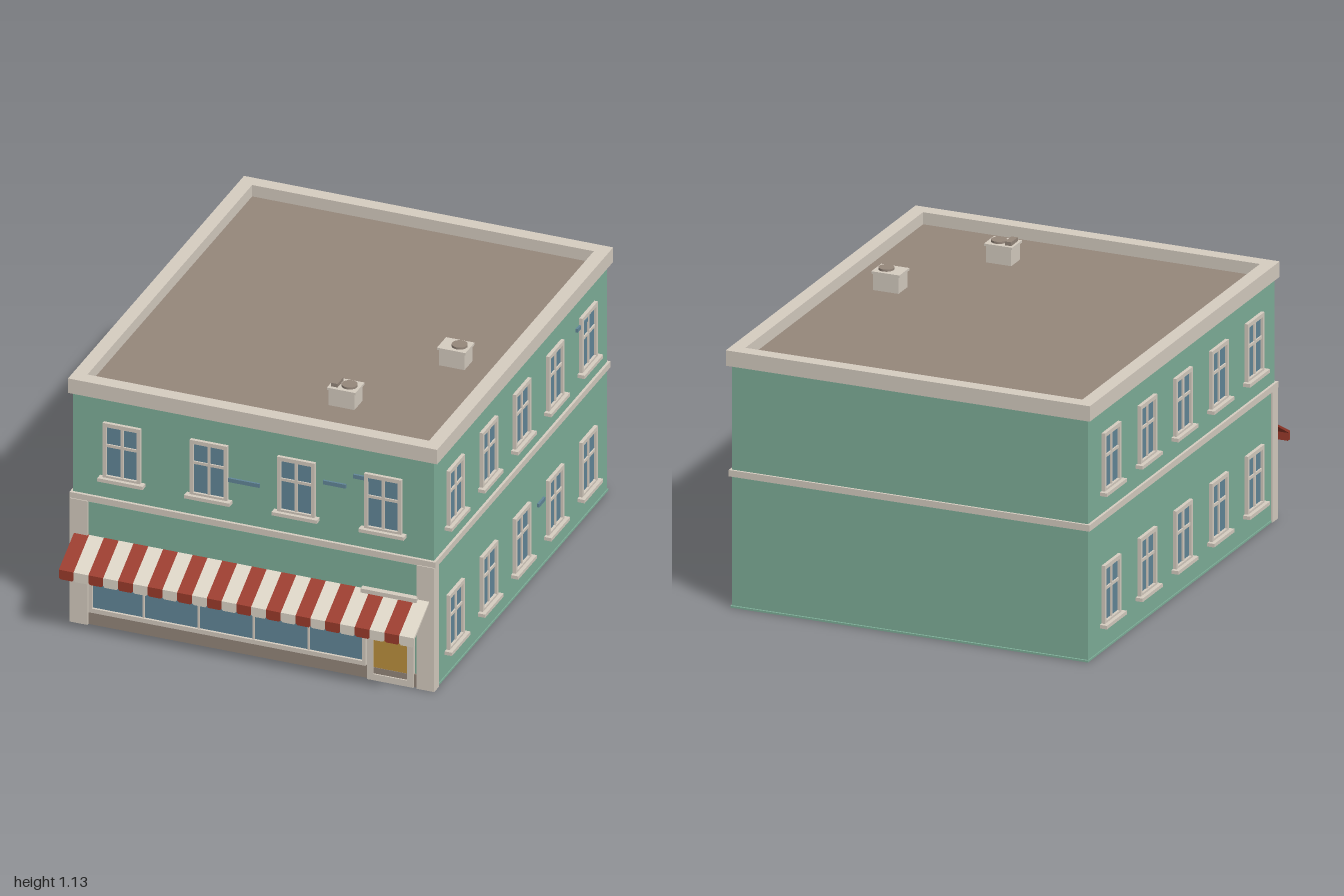
import * as THREE from 'three';

const paint = (name, color) => {
  const m = new THREE.MeshStandardMaterial({ color });
  m.name = name;
  return m;
};

export function createModel() {
  const root = new THREE.Group();
  root.name = 'cornerShop';
  const wall = paint('green wall', 0x7fb09a);
  const trim = paint('stone trim', 0xd6cdc1);
  const roof = paint('brown roof', 0x95877b);
  const glass = paint('blue glass', 0x628799);
  const red = paint('awning red', 0x9c3b2b);
  const cream = paint('awning cream', 0xded6c8);
  const ochre = paint('door ochre', 0xbc913e);

  const add = (parent, name, geo, mat) => {
    const m = new THREE.Mesh(geo, mat);
    m.name = name;
    parent.add(m);
    return m;
  };
  // Box given by its limits on each axis
  const box = (parent, name, mat, x0, x1, y0, y1, z0, z1) => {
    const g = new THREE.BoxGeometry(x1 - x0, y1 - y0, z1 - z0);
    g.translate((x0 + x1) / 2, (y0 + y1) / 2, (z0 + z1) / 2);
    return add(parent, name, g, mat);
  };
  const rect = (target, x0, x1, y0, y1) => {
    target.moveTo(x0, y0);
    target.lineTo(x1, y0);
    target.lineTo(x1, y1);
    target.lineTo(x0, y1);
    target.closePath();
    return target;
  };
  // Rectangular ring in the xy plane, extruded towards +z
  const ring = (outer, inner, depth) => {
    const s = rect(new THREE.Shape(), ...outer);
    s.holes.push(rect(new THREE.Path(), ...inner));
    return new THREE.ExtrudeGeometry(s, { depth, bevelEnabled: false });
  };

  // Main body, plinth and string course
  const W = 0.772, FRONT = 0.825, BACK = -0.978;
  box(root, 'walls', wall, -W, W, 0, 1.03, BACK, FRONT);
  box(root, 'plinth', wall, -0.776, 0.776, 0, 0.008, -0.986, FRONT);
  box(root, 'stringCourse', trim, -0.783, 0.783, 0.553, 0.58, -0.988, 0.838);

  // Parapet around the sunken roof
  const parapet = ring([-0.79, 0.79, -0.836, 1.0], [-0.731, 0.731, -0.776, 0.941], 0.065);
  parapet.rotateX(-Math.PI / 2);
  parapet.translate(0, 1.022, 0);
  add(root, 'parapet', parapet, trim);
  box(root, 'roofDeck', roof, -0.735, 0.735, 1.025, 1.036, -0.945, 0.78);

  // Rooftop ventilation units
  const roofUnit = (x, z, withVent) => {
    const u = new THREE.Group();
    u.name = 'roofUnit';
    u.position.set(x, 1.03, z);
    box(u, 'unitCase', trim, -0.055, 0.055, 0, 0.076, -0.043, 0.043);
    box(u, 'unitLid', trim, -0.061, 0.061, 0.076, 0.086, -0.048, 0.048);
    const fan = new THREE.CylinderGeometry(0.032, 0.032, 0.009, 24);
    fan.translate(0.017, 0.0905, 0);
    add(u, 'unitFan', fan, roof);
    if (withVent) box(u, 'unitVent', roof, -0.05, -0.022, 0.086, 0.102, -0.032, 0.032);
    root.add(u);
  };
  roofUnit(0.269, 0.52, true);
  roofUnit(0.545, 0.045, false);

  // Sash window facing +z, origin at the foot of its frame
  const frameGeo = ring([-0.08, 0.08, 0, 0.247], [-0.065, 0.065, 0.012, 0.23], 0.015);
  const makeWindow = (x, y, z, turn) => {
    const w = new THREE.Group();
    w.name = 'window';
    add(w, 'windowFrame', frameGeo, trim);
    box(w, 'windowGlass', glass, -0.067, 0.067, 0.01, 0.232, 0, 0.004);
    box(w, 'verticalBar', trim, -0.006, 0.006, 0.012, 0.23, 0.002, 0.01);
    box(w, 'crossBar', trim, -0.065, 0.065, 0.139, 0.151, 0.002, 0.01);
    box(w, 'windowSill', trim, -0.097, 0.097, -0.012, 0.003, 0, 0.031);
    w.position.set(x, y, z);
    w.rotation.y = turn;
    root.add(w);
  };
  for (const x of [-0.56, -0.188, 0.186, 0.558]) makeWindow(x, 0.673, FRONT, 0);
  for (const side of [-1, 1])
    for (const y of [0.115, 0.673])
      for (let i = 0; i < 5; i++)
        makeWindow(side * W, y, 0.617 - i * 0.346, side * Math.PI / 2);

  // Corner pilasters, fascia and bulkhead of the shopfront
  for (const side of [-1, 1]) {
    const a = side * 0.704, b = side * 0.78;
    box(root, 'pilaster', trim, Math.min(a, b), Math.max(a, b), 0, 0.555, 0.79, 0.842);
  }
  box(root, 'fascia', wall, -0.704, 0.704, 0.405, 0.549, 0.82, 0.832);
  box(root, 'bulkhead', roof, -0.704, 0.704, 0, 0.057, 0.82, 0.832);

  // Display window
  const display = ring([-0.7, 0.485, 0.057, 0.395], [-0.686, 0.471, 0.076, 0.381], 0.015);
  display.translate(0, 0, FRONT);
  add(root, 'displayFrame', display, trim);
  box(root, 'displayGlass', glass, -0.69, 0.475, 0.07, 0.385, FRONT, FRONT + 0.004);
  for (let i = 0; i < 4; i++) {
    const x = -0.468 + i * 0.236;
    box(root, 'displayMullion', trim, x - 0.004, x + 0.004, 0.076, 0.381, FRONT, 0.836);
  }

  // Door with step, kick plate and hood
  const doorFrame = ring([0.492, 0.69, 0, 0.395], [0.517, 0.664, 0.028, 0.37], 0.016);
  doorFrame.translate(0, 0, FRONT);
  add(root, 'doorFrame', doorFrame, trim);
  box(root, 'doorPanel', ochre, 0.51, 0.67, 0.055, 0.375, FRONT, 0.833);
  box(root, 'kickPlate', roof, 0.51, 0.67, 0.02, 0.055, FRONT, 0.835);
  box(root, 'doorHood', trim, 0.47, 0.71, 0.392, 0.411, 0.82, 0.858);

  // Striped awning: sloped strips, each with a clipped hanging flap
  const awning = new THREE.Group();
  awning.name = 'awning';
  root.add(awning);
  const COUNT = 24, X0 = -0.762, step = 1.52 / COUNT;
  const slope = new THREE.Shape();
  slope.moveTo(0.838, 0.404);
  slope.lineTo(0.838, 0.396);
  slope.lineTo(0.992, 0.307);
  slope.lineTo(1.0, 0.307);
  slope.lineTo(1.0, 0.315);
  slope.closePath();
  const stripGeo = new THREE.ExtrudeGeometry(slope, { depth: step, bevelEnabled: false });
  stripGeo.rotateY(-Math.PI / 2);
  stripGeo.translate(step, 0, 0);
  const flap = new THREE.Shape();
  flap.moveTo(0, 0.31);
  flap.lineTo(0, 0.28);
  flap.lineTo(0.007, 0.273);
  flap.lineTo(step - 0.007, 0.273);
  flap.lineTo(step, 0.28);
  flap.lineTo(step, 0.31);
  flap.closePath();
  const flapGeo = new THREE.ExtrudeGeometry(flap, { depth: 0.007, bevelEnabled: false });
  flapGeo.translate(0, 0, 0.993);
  for (let i = 0; i < COUNT; i++) {
    const mat = i % 2 ? cream : red;
    add(awning, 'awningStrip', stripGeo, mat).position.x = X0 + i * step;
    add(awning, 'awningFlap', flapGeo, mat).position.x = X0 + i * step;
  }

  // Small blue strips scattered on the front and one side wall
  for (const [x0, x1, y] of [[-0.105, 0.028, 0.76], [0.3, 0.397, 0.832], [0.43, 0.495, 0.885], [0.075, 0.14, 0.176]])
    box(root, 'frontStrip', glass, x0, x1, y, y + 0.017, FRONT, 0.834);
  for (const [z0, z1, y] of [[-0.78, -0.652, 0.874], [-0.315, -0.25, 0.288]])
    box(root, 'sideStrip', glass, W, 0.781, y, y + 0.016, z0, z1);

  return root;
}
